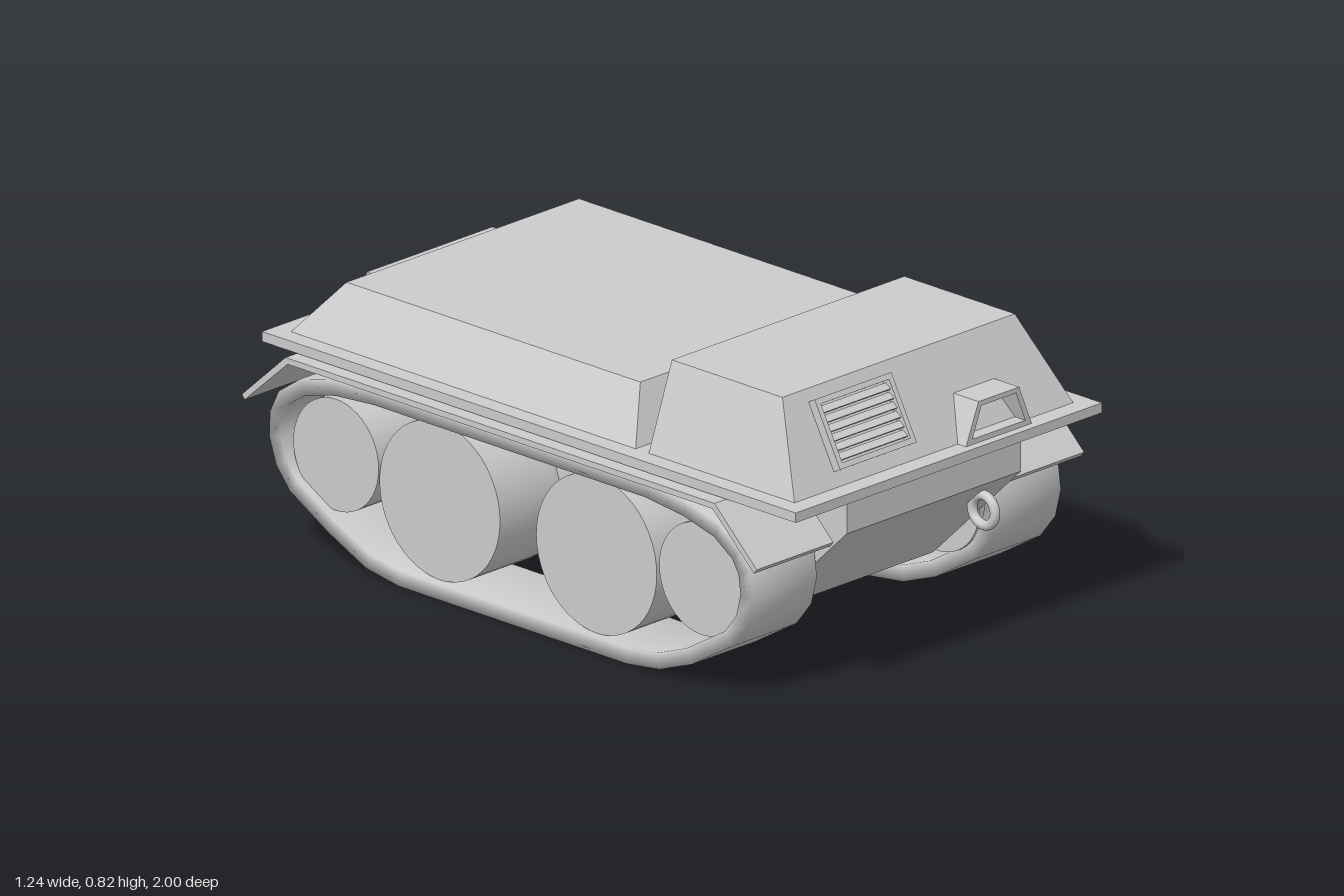
import * as THREE from 'three';

const material = new THREE.MeshStandardMaterial({ color: 0xcccccc });

function add(parent, name, geometry, x = 0, y = 0, z = 0) {
  const mesh = new THREE.Mesh(geometry, material);
  mesh.name = name;
  mesh.position.set(x, y, z);
  parent.add(mesh);
  return mesh;
}

const box = (w, h, d) => new THREE.BoxGeometry(w, h, d);

const polygon = (points) => new THREE.Shape(points.map(([a, b]) => new THREE.Vector2(a, b)));

// Side profile given as [z, y], extruded across x and centred on x = 0
function sideProfile(points, width) {
  return new THREE.ExtrudeGeometry(polygon(points), { depth: width, bevelEnabled: false })
    .translate(0, 0, -width / 2)
    .rotateY(-Math.PI / 2);
}

// Box with sloping sides: base and top are [halfWidth, zBack, zFront, y]
function frustum(base, top) {
  const geometry = box(1, 1, 1);
  const p = geometry.attributes.position;
  for (let i = 0; i < p.count; i++) {
    const [half, back, front, y] = p.getY(i) > 0 ? top : base;
    p.setXYZ(i, Math.sign(p.getX(i)) * half, y, p.getZ(i) > 0 ? front : back);
  }
  geometry.computeVertexNormals();
  return geometry;
}

// Closed band: outer path as [z, y], thickened inward, with softly shaded corners
function trackBand(path, width, thickness) {
  const n = path.length;
  const positions = [];
  const index = [];
  path.forEach(([z, y], i) => {
    const [z0, y0] = path[(i + n - 1) % n];
    const [z1, y1] = path[(i + 1) % n];
    const length = Math.hypot(z1 - z0, y1 - y0);
    const zi = z - ((y1 - y0) / length) * thickness;
    const yi = y + ((z1 - z0) / length) * thickness;
    const h = width / 2;
    positions.push(-h, y, z, h, y, z, h, yi, zi, -h, yi, zi);
    for (let k = 0; k < 4; k++) {
      const a = i * 4 + k;
      const b = i * 4 + ((k + 1) % 4);
      const c = ((i + 1) % n) * 4 + ((k + 1) % 4);
      const d = ((i + 1) % n) * 4 + k;
      index.push(a, b, c, a, c, d);
    }
  });
  const geometry = new THREE.BufferGeometry();
  geometry.setAttribute('position', new THREE.Float32BufferAttribute(positions, 3));
  geometry.setIndex(index);
  geometry.computeVertexNormals();
  return geometry;
}

// Counter-clockwise in (z, y), starting at the rear end of the ground run
const trackPath = [
  [-0.46, 0], [0.38, 0], [0.5, 0.015], [0.62, 0.06], [0.77, 0.15], [0.825, 0.22],
  [0.845, 0.3], [0.835, 0.375], [0.8, 0.43], [0.72, 0.483], [0.6, 0.515], [0.45, 0.532],
  [-0.55, 0.532], [-0.7, 0.52], [-0.82, 0.49], [-0.9, 0.435], [-0.932, 0.37],
  [-0.935, 0.3], [-0.91, 0.225], [-0.86, 0.165], [-0.72, 0.085], [-0.58, 0.02],
];

// [z, y, radius]
const wheels = [
  [0.635, 0.298, 0.157], [0.247, 0.267, 0.222], [-0.33, 0.267, 0.222], [-0.712, 0.298, 0.157],
];

const fenderProfile = [
  [0.74, 0.555], [-0.84, 0.555], [-1.0, 0.41], [-0.99, 0.397], [-0.832, 0.538],
  [0.732, 0.538], [0.885, 0.395], [0.895, 0.408],
];

function createRunningGear(side) {
  const gear = new THREE.Group();
  gear.name = side > 0 ? 'leftRunningGear' : 'rightRunningGear';
  add(gear, 'track', trackBand(trackPath, 0.243, 0.045), side * 0.462);
  for (const [z, y, radius] of wheels) {
    const wheel = new THREE.CylinderGeometry(radius, radius, 0.23, 48).rotateZ(Math.PI / 2);
    add(gear, 'wheel', wheel, side * 0.445, y, z);
  }
  add(gear, 'fender', sideProfile(fenderProfile, 0.29), side * 0.475);
  return gear;
}

// Louvred grille lying on the sloping cab front
function createGrille() {
  const grille = new THREE.Group();
  grille.name = 'grille';
  const w = 0.29, h = 0.197, t = 0.016, d = 0.026;
  for (const s of [-1, 1]) {
    add(grille, 'grilleSide', box(t, h, d), s * (w - t) / 2, 0, d / 2);
    add(grille, 'grilleRail', box(w - 2 * t, t, d), 0, s * (h - t) / 2, d / 2);
  }
  for (let i = 0; i < 6; i++) {
    const slat = add(grille, 'grilleSlat', box(w - 2 * t, 0.022, 0.005), 0, -0.066 + i * 0.0265, 0.012);
    slat.rotation.x = -0.5;
  }
  grille.position.set(-0.213, 0.708, 0.878);
  grille.rotation.x = -Math.atan2(0.13, 0.24);
  return grille;
}

// Open trapezoid hood on the cab front
function createLampHood() {
  const shape = polygon([[-0.125, 0.583], [0.125, 0.583], [0.077, 0.7], [-0.077, 0.7]]);
  shape.holes.push(polygon([[-0.1, 0.6], [-0.066, 0.686], [0.066, 0.686], [0.1, 0.6]]));
  return new THREE.ExtrudeGeometry(shape, { depth: 0.115, bevelEnabled: false });
}

export function createModel() {
  const model = new THREE.Group();
  model.name = 'trackedCarrier';

  // Hull and deck
  add(model, 'hull', sideProfile([
    [0.62, 0.132], [0.945, 0.445], [0.945, 0.56], [-0.907, 0.56], [-0.907, 0.44], [-0.75, 0.132],
  ], 0.66));
  add(model, 'deck', box(1.16, 0.028, 1.965), 0, 0.571, 0.0175);

  // Upper bodies
  add(model, 'cab', frustum([0.528, 0.408, 0.945, 0.584], [0.44, 0.408, 0.815, 0.825]));
  add(model, 'rearBody', frustum([0.528, -0.91, 0.36, 0.584], [0.44, -0.79, 0.292, 0.732]));
  add(model, 'bodyLink', box(0.76, 0.092, 0.12), 0, 0.63, 0.36);
  add(model, 'rearBox', sideProfile([
    [-0.82, 0.584], [-0.82, 0.675], [-0.912, 0.675], [-0.948, 0.584],
  ], 0.476));

  // Front fittings
  model.add(createGrille());
  add(model, 'lampHood', createLampHood(), 0.215, 0, 0.86);
  add(model, 'towRing', new THREE.TorusGeometry(0.042, 0.014, 12, 32).rotateY(Math.PI / 2), 0.226, 0.354, 0.908);

  // Tracks, wheels and fenders
  for (const side of [1, -1]) model.add(createRunningGear(side));

  return model;
}
